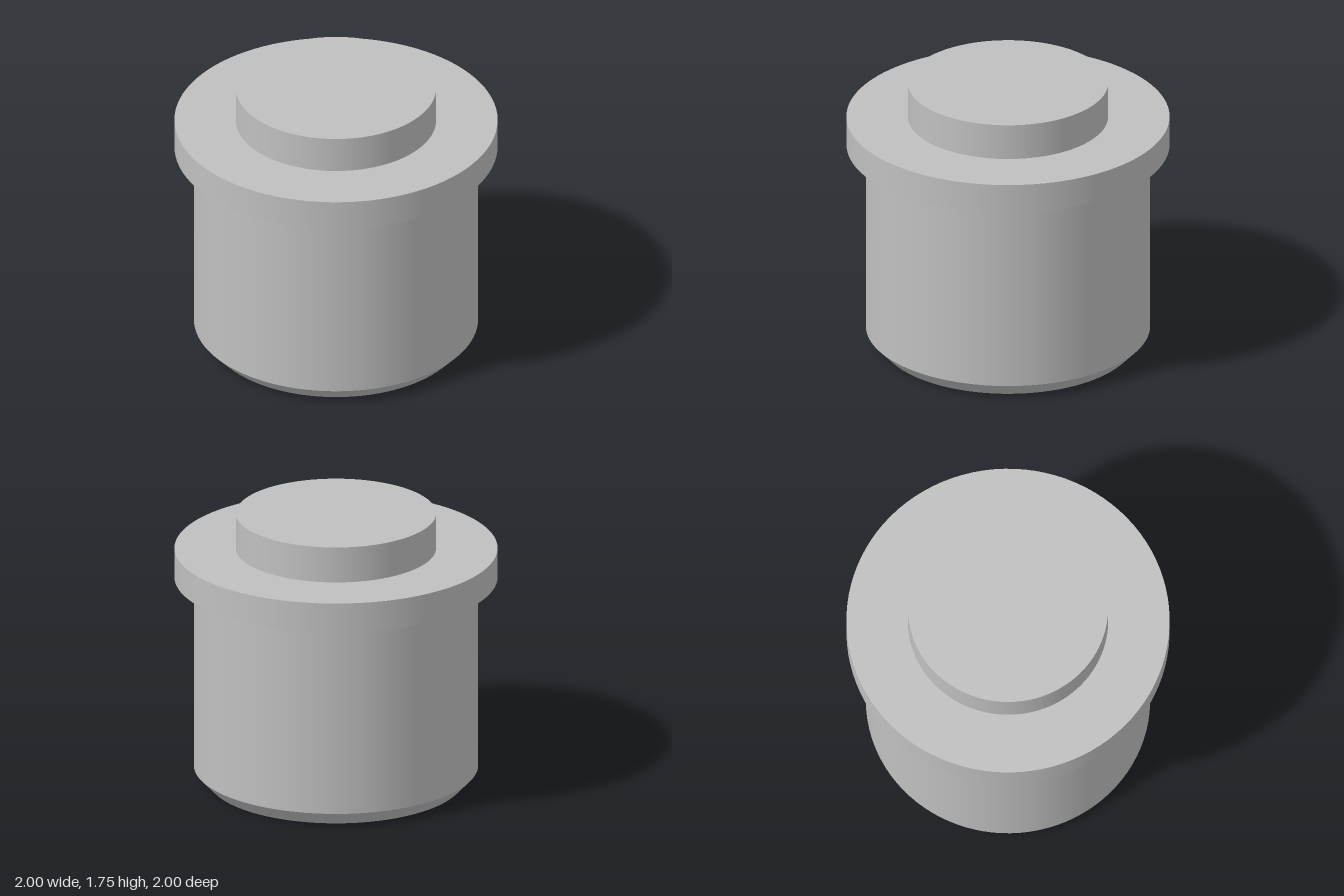
import * as THREE from 'three';
import { mergeGeometries } from 'three/addons/utils/BufferGeometryUtils.js';

const SEGMENTS = 96;
const BASE_R = 0.79, HOLE_R = 0.1, HOLE_X = 0.16, HOLE_DEPTH = 0.065;

// Revolve a profile with a sharp edge at every profile point
function revolve(profile) {
  const bands = [];
  for (let i = 0; i < profile.length - 1; i++) {
    const ends = [profile[i], profile[i + 1]].map(([r, y]) => new THREE.Vector2(r, y));
    bands.push(new THREE.LatheGeometry(ends, SEGMENTS));
  }
  return mergeGeometries(bands);
}

export function createModel() {
  const group = new THREE.Group();
  const grey = new THREE.MeshStandardMaterial({ color: 0xc0c0c0 });
  grey.name = 'plain grey';

  const add = (name, geometry) => {
    const mesh = new THREE.Mesh(geometry, grey);
    mesh.name = name;
    group.add(mesh);
    return mesh;
  };

  // Body with a chamfered lower edge
  add('body', revolve([[BASE_R, 0], [0.88, 0.095], [0.88, 1.335]]));

  // Wide flange and the raised cap on top of it
  add('flange', revolve([[0.88, 1.335], [1, 1.335], [1, 1.525], [0.62, 1.525]]));
  add('cap', revolve([[0.62, 1.525], [0.62, 1.755], [0, 1.755]]));

  // Underside with two round openings
  const disc = new THREE.Shape().absarc(0, 0, BASE_R, 0, Math.PI * 2, false);
  for (const side of [-1, 1]) {
    disc.holes.push(new THREE.Path().absarc(side * HOLE_X, 0, HOLE_R, 0, Math.PI * 2, true));

    // Shallow blind hole, faces pointing inwards
    const pocket = add(side > 0 ? 'leftHole' : 'rightHole',
      revolve([[0, HOLE_DEPTH], [HOLE_R, HOLE_DEPTH], [HOLE_R, 0]]));
    pocket.position.x = side * HOLE_X;
  }
  add('underside', new THREE.ShapeGeometry(disc, SEGMENTS).rotateX(Math.PI / 2));

  return group;
}
